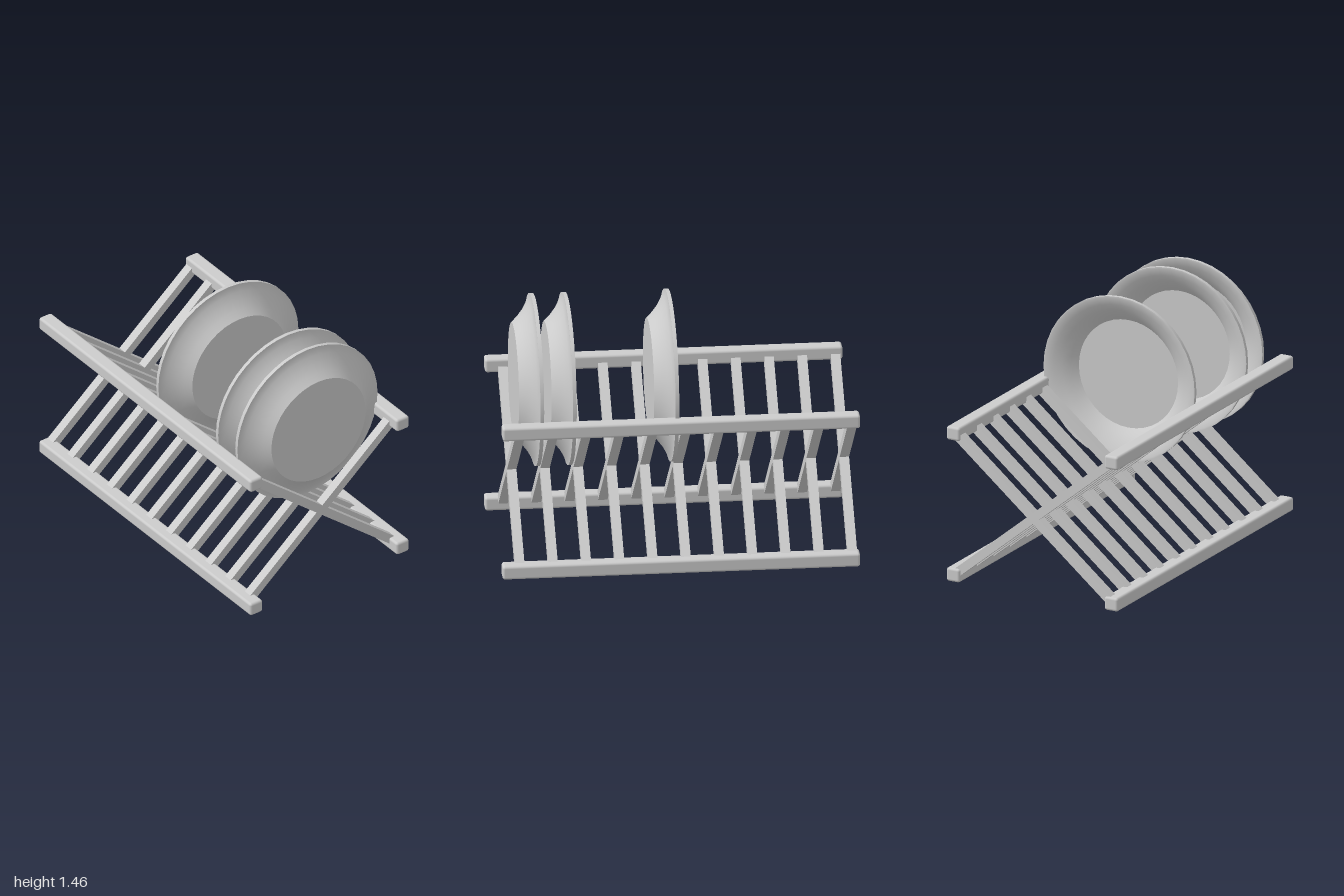
import * as THREE from 'three';
import { RoundedBoxGeometry } from 'three/addons/geometries/RoundedBoxGeometry.js';
import { toCreasedNormals } from 'three/addons/utils/BufferGeometryUtils.js';

export function createModel() {
  const model = new THREE.Group();
  model.name = 'dishRack';
  const material = new THREE.MeshStandardMaterial({ color: 0xcccccc });

  const add = (geometry, name, x, y, z) => {
    const mesh = new THREE.Mesh(geometry, material);
    mesh.name = name;
    mesh.position.set(x, y, z);
    model.add(mesh);
    return mesh;
  };

  // Four long rails, two at the top and two on the ground
  const railX = 0.505, lowY = 0.044, highY = 0.876;
  const railGeometry = new RoundedBoxGeometry(0.086, 0.08, 2, 2, 0.015);
  for (const [side, x] of [['left', railX], ['right', -railX]]) {
    add(railGeometry, side + 'TopRail', x, highY, 0);
    add(railGeometry, side + 'BottomRail', x, lowY, 0);
  }

  // Crossed slats joining opposite rails
  const rise = highY - lowY;
  const slatGeometry = new THREE.BoxGeometry(Math.hypot(2 * railX, rise) - 0.03, 0.05, 0.053);
  const angle = Math.atan2(rise, 2 * railX);
  for (let i = 0; i < 11; i++) {
    for (const sign of [1, -1]) {
      const slat = add(slatGeometry, 'slat', 0, (lowY + highY) / 2, 0.9 - i * 0.186);
      slat.rotation.z = sign * angle;
    }
  }

  // Plates: flat base, flared wall and thin rim, standing on edge
  const profile = [
    [0, 0], [0.325, 0], [0.358, 0.035], [0.4, 0.068], [0.44, 0.09], [0.475, 0.104],
    [0.483, 0.104], [0.483, 0.125], [0.472, 0.125],
    [0.43, 0.106], [0.39, 0.083], [0.35, 0.053], [0.317, 0.018], [0, 0.018],
  ].map(([r, h]) => new THREE.Vector2(r, h));
  const plateGeometry = toCreasedNormals(new THREE.LatheGeometry(profile, 40), 0.5);
  plateGeometry.rotateX(-Math.PI / 2);
  for (const [x, z] of [[0.003, 0.887], [0.003, 0.705], [0.01, 0.132]]) {
    add(plateGeometry, 'plate', x, 0.98, z);
  }

  return model;
}
